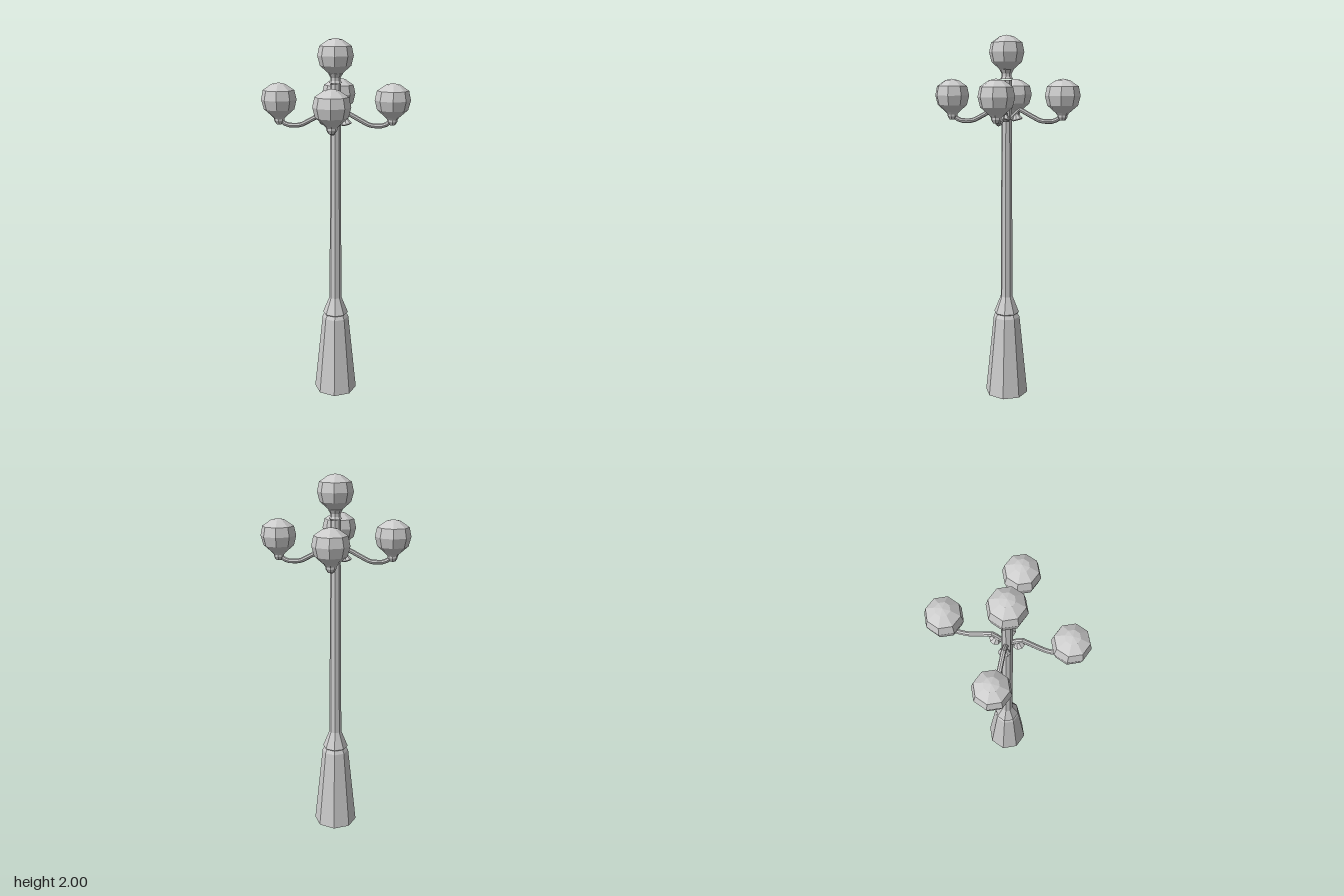
import * as THREE from 'three';

const iron = new THREE.MeshStandardMaterial({ color: 0xcccccc, flatShading: true, side: THREE.DoubleSide });
iron.name = 'grey';

// Eight-sided turned part from [radius, height] pairs, bottom to top
function turned(name, profile) {
  const geo = new THREE.LatheGeometry(profile.map(([r, y]) => new THREE.Vector2(r, y)), 8);
  const mesh = new THREE.Mesh(geo, iron);
  mesh.name = name;
  return mesh;
}

// Faceted globe, centred on its widest ring
function globe(x, y) {
  const mesh = turned('lampGlobe', [
    [0, -0.09], [0.037, -0.088], [0.081, -0.05], [0.094, 0], [0.083, 0.049], [0.037, 0.08], [0, 0.088],
  ]);
  mesh.position.set(x, y, 0);
  return mesh;
}

function createArm() {
  const arm = new THREE.Group();
  arm.name = 'lampArm';

  // Swan-neck tube from the pole out to the cup
  const path = new THREE.CatmullRomCurve3([
    [0.02, 1.568], [0.045, 1.59], [0.07, 1.616], [0.115, 1.592],
    [0.185, 1.556], [0.25, 1.555], [0.283, 1.572], [0.298, 1.595],
  ].map(([x, y]) => new THREE.Vector3(x, y, 0)), false, 'catmullrom', 0.2);
  const tube = new THREE.Mesh(new THREE.TubeGeometry(path, 14, 0.0125, 8), iron);
  tube.name = 'armTube';

  // Flared cup below the globe
  const cup = turned('globeCup', [[0.016, 1.56], [0.027, 1.578], [0.027, 1.588], [0.039, 1.603], [0.03, 1.61]]);
  cup.position.x = 0.298;

  // Small bell at the inner end of the arm
  const bell = turned('armBell', [[0, -0.012], [0.024, -0.018], [0.03, -0.012], [0.014, 0.012], [0.01, 0.022]]);
  bell.position.set(0.054, 1.576, 0);
  bell.rotation.z = 0.25;

  arm.add(tube, cup, bell, globe(0.298, 1.688));
  return arm;
}

export function createModel() {
  const model = new THREE.Group();
  model.name = 'streetLamp';

  // Tapered base, open underneath, with a groove and sloping skirt
  model.add(turned('base', [[0.121, 0], [0.074, 0.455], [0.063, 0.475]]));
  model.add(turned('skirt', [[0.063, 0.475], [0.071, 0.482], [0.034, 0.575]]));
  model.add(turned('pole', [[0.034, 0.575], [0.028, 1.56], [0.028, 1.77]]));
  model.add(turned('topCup', [[0.034, 1.775], [0.027, 1.787], [0.027, 1.803], [0.038, 1.822], [0.03, 1.829]]));
  model.add(globe(0, 1.912));

  // Four arms around the pole
  for (let i = 0; i < 4; i++) {
    const arm = createArm();
    arm.rotation.y = i * Math.PI / 2;
    model.add(arm);
  }
  return model;
}
